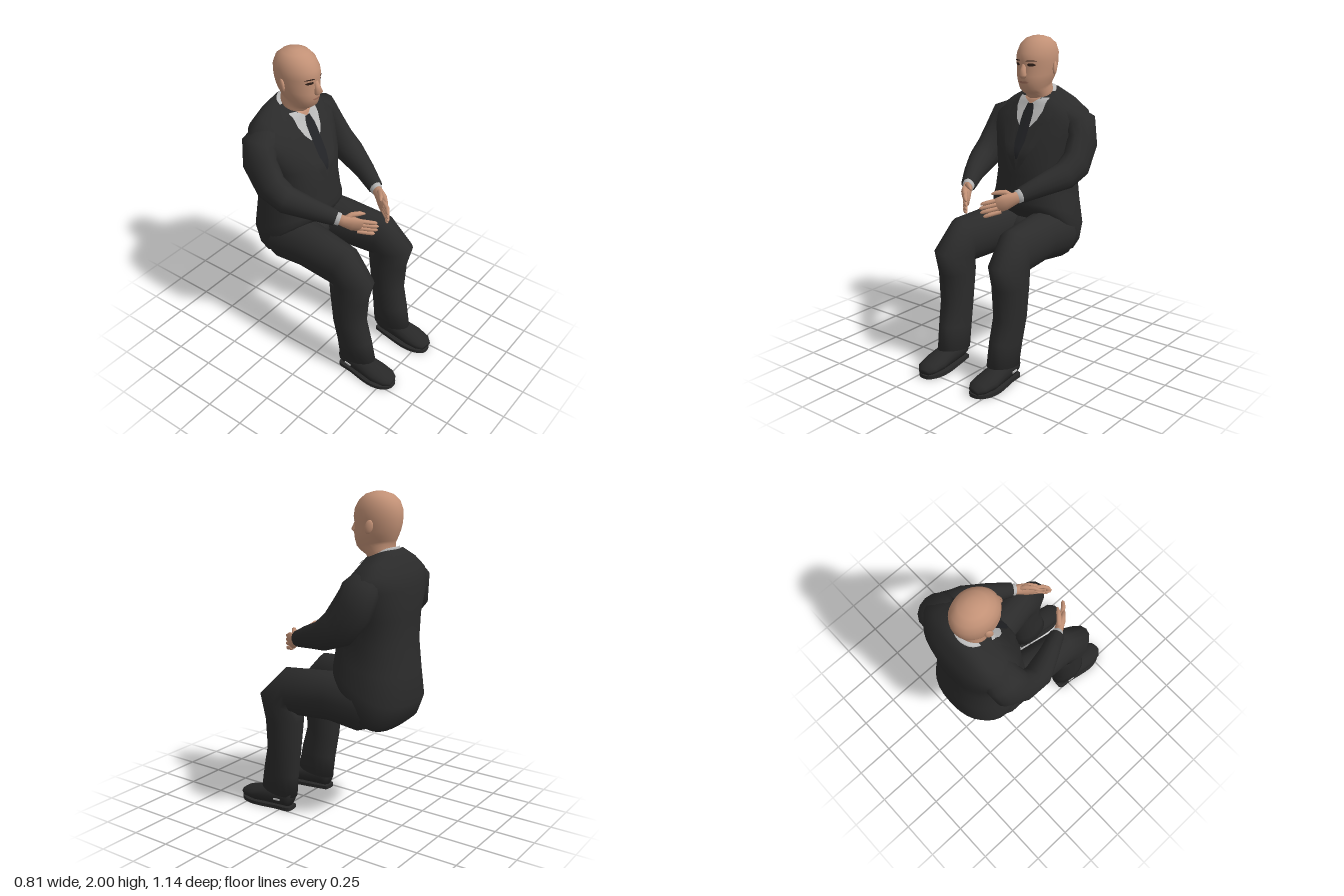
import * as THREE from 'three';

const mat = (name, color) => Object.assign(new THREE.MeshStandardMaterial({ color }), { name });

// Skin a stack of rings (counter-clockwise about the stacking direction), with closed ends
function skin(rings) {
  const n = rings[0].length, pos = [], idx = [];
  rings.forEach(r => r.forEach(p => pos.push(p.x, p.y, p.z)));
  for (let i = 0; i < rings.length - 1; i++) for (let j = 0; j < n; j++) {
    const a = i * n + j, b = i * n + (j + 1) % n;
    idx.push(a, b, a + n, b, b + n, a + n);
  }
  [0, rings.length - 1].forEach((i, end) => {
    const c = rings[i].reduce((s, p) => s.add(p), new THREE.Vector3()).divideScalar(n);
    const k = pos.length / 3;
    pos.push(c.x, c.y, c.z);
    for (let j = 0; j < n; j++) {
      const a = i * n + j, b = i * n + (j + 1) % n;
      end ? idx.push(k, a, b) : idx.push(k, b, a);
    }
  });
  const g = new THREE.BufferGeometry();
  g.setAttribute('position', new THREE.Float32BufferAttribute(pos, 3));
  g.setIndex(idx);
  g.computeVertexNormals();
  return g;
}

// Limb: sections [x, y, z, sideRadius, otherRadius] along a path; s mirrors x
function limb(sections, s = 1, n = 14) {
  const c = sections.map(q => new THREE.Vector3(q[0] * s, q[1], q[2]));
  return skin(sections.map((q, i) => {
    const t = c[Math.min(i + 1, c.length - 1)].clone().sub(c[Math.max(i - 1, 0)]).normalize();
    const u = new THREE.Vector3(1, 0, 0).addScaledVector(t, -t.x).normalize();
    const v = t.clone().cross(u);
    return Array.from({ length: n }, (_, j) => {
      const a = j / n * Math.PI * 2;
      return c[i].clone().addScaledVector(u, q[3] * Math.cos(a)).addScaledVector(v, q[4] * Math.sin(a));
    });
  }));
}

// Upright body: rows [yFront, yBack, zFront, zBack, halfWidth]; power < 1 squares the outline
function body(rows, n, power) {
  const pw = x => Math.sign(x) * Math.abs(x) ** power;
  return skin(rows.map(([yf, yb, zf, zb, rx]) => Array.from({ length: n }, (_, j) => {
    const a = j / n * Math.PI * 2, f = (1 - pw(Math.sin(a))) / 2;
    return new THREE.Vector3(rx * pw(Math.cos(a)), yb + (yf - yb) * f * f * (3 - 2 * f), zb + (zf - zb) * f);
  })));
}

// Thin patch laid on the front of a mesh: rows [y, x0, x1] from top to bottom
function patch(target, rows, lift, s = 1, cols = 6) {
  const ray = new THREE.Raycaster(), pos = [], idx = [], dir = new THREE.Vector3(0, 0, -1);
  const fine = [];
  rows.forEach((r, i) => {
    if (i) for (let k = 1; k <= 4; k++) fine.push(r.map((v, m) => rows[i - 1][m] + (v - rows[i - 1][m]) * k / 4));
    else fine.push(r);
  });
  fine.forEach(([y, x0, x1], i) => {
    const lo = Math.min(x0 * s, x1 * s), hi = Math.max(x0 * s, x1 * s);
    for (let c = 0; c <= cols; c++) {
      const x = lo + (hi - lo) * c / cols;
      ray.set(new THREE.Vector3(x, y, 2), dir);
      const hit = ray.intersectObject(target)[0];
      pos.push(x, y, (hit ? hit.point.z : -0.27) + lift);
      if (i && c) {
        const d = i * (cols + 1) + c, b = d - cols - 1;
        idx.push(b - 1, d - 1, b, b, d - 1, d);
      }
    }
  });
  const g = new THREE.BufferGeometry();
  g.setAttribute('position', new THREE.Float32BufferAttribute(pos, 3));
  g.setIndex(idx);
  g.computeVertexNormals();
  return g;
}

export function createModel() {
  const suit = mat('suit cloth', 0x2b2b2b), skinTone = mat('skin', 0xc29176), shirt = mat('shirt', 0xbcbcbc);
  const tieCloth = mat('tie cloth', 0x222326), leather = mat('shoe leather', 0x282828);
  const dark = mat('eye and brow', 0x35241d), lip = mat('lips', 0xa3705c);
  shirt.side = THREE.DoubleSide;
  const model = new THREE.Group();
  const add = (name, g, m) => {
    const mesh = new THREE.Mesh(g, m);
    mesh.name = name;
    model.add(mesh);
    return mesh;
  };

  // Jacket, lower at the back than at the front
  const jacket = add('jacket', body([
    [0.94, 0.635, -0.10, -0.46, 0.27],
    [0.97, 0.69, -0.08, -0.525, 0.285],
    [1.0, 0.80, -0.075, -0.568, 0.285],
    [1.06, 0.98, -0.08, -0.55, 0.262],
    [1.17, 1.15, -0.09, -0.535, 0.245],
    [1.31, 1.30, -0.10, -0.535, 0.262],
    [1.43, 1.47, -0.16, -0.545, 0.315],
    [1.51, 1.56, -0.20, -0.515, 0.322],
    [1.57, 1.63, -0.232, -0.48, 0.23],
    [1.63, 1.685, -0.255, -0.44, 0.115],
  ], 32, 0.85), suit);

  // Trouser seat
  const seat = new THREE.SphereGeometry(1, 20, 14).scale(0.22, 0.11, 0.2).translate(0, 0.80, -0.3);
  add('trouserSeat', seat, suit);

  // Head and neck
  const head = add('head', body([
    [1.57, 1.62, -0.26, -0.41, 0.08],
    [1.64, 1.69, -0.24, -0.408, 0.082],
    [1.662, 1.715, -0.195, -0.41, 0.078],
    [1.685, 1.73, -0.168, -0.418, 0.085],
    [1.725, 1.76, -0.158, -0.43, 0.1],
    [1.765, 1.79, -0.153, -0.44, 0.108],
    [1.82, 1.82, -0.16, -0.447, 0.113],
    [1.855, 1.855, -0.152, -0.451, 0.117],
    [1.9, 1.9, -0.16, -0.45, 0.117],
    [1.95, 1.95, -0.188, -0.43, 0.103],
    [1.983, 1.983, -0.228, -0.39, 0.073],
    [1.998, 1.998, -0.275, -0.34, 0.033],
  ], 32, 1), skinTone);
  add('nose', limb([[0, 1.84, -0.168, 0.012, 0.012], [0, 1.805, -0.156, 0.018, 0.018],
    [0, 1.775, -0.146, 0.027, 0.024], [0, 1.762, -0.158, 0.022, 0.014]], 1, 12), skinTone);
  add('mouth', patch(head, [[1.736, -0.022, 0.022], [1.73, -0.036, 0.036], [1.723, -0.02, 0.02]], 0.003), lip);

  // Throat, shirt front and tie in the jacket opening
  add('throat', patch(jacket, [[1.632, -0.062, 0.062], [1.595, -0.008, 0.008]], 0.008), skinTone);
  add('tie', patch(jacket, [[1.595, -0.02, 0.02], [1.545, -0.036, 0.036], [1.5, -0.038, 0.038],
    [1.36, -0.035, 0.035], [1.27, -0.006, 0.006]], 0.009), tieCloth);
  add('shirtFront', patch(jacket, [[1.632, -0.105, 0.105], [1.57, -0.102, 0.102], [1.5, -0.074, 0.074],
    [1.46, -0.04, 0.04]], 0.004), shirt);
  add('shirtCollar', body([[1.58, 1.655, -0.262, -0.435, 0.108], [1.61, 1.697, -0.265, -0.428, 0.096]], 28, 1), shirt);

  // Sole outline seen from above
  const outline = new THREE.Shape(new THREE.SplineCurve([[0.165, 0.185], [0.245, 0.185], [0.26, 0.28], [0.285, 0.43],
    [0.27, 0.52], [0.225, 0.568], [0.165, 0.566], [0.13, 0.51], [0.122, 0.42], [0.145, 0.28], [0.165, 0.185]]
    .map(p => new THREE.Vector2(...p))).getPoints(40));

  for (const [side, s] of [['left', 1], ['right', -1]]) {
    const part = (name, sections, m, n) => add(side + name, limb(sections, s, n), m);

    // Face details
    add(side + 'Eye', patch(head, [[1.845, 0.036, 0.06], [1.836, 0.025, 0.074], [1.828, 0.036, 0.06]], 0.003, s), dark);
    add(side + 'Brow', patch(head, [[1.864, 0.03, 0.062], [1.857, 0.02, 0.082]], 0.003, s), dark);
    const ear = new THREE.SphereGeometry(1, 12, 10).scale(0.012, 0.04, 0.024).rotateX(-0.2);
    add(side + 'Ear', ear.rotateY(s * 0.35).translate(s * 0.12, 1.81, -0.315), skinTone);

    // Lapel
    add(side + 'Lapel', patch(jacket, [[1.62, 0.103, 0.13], [1.54, 0.098, 0.17], [1.47, 0.062, 0.165],
      [1.35, 0.03, 0.11], [1.2, 0.0, 0.015]], 0.009, s), suit);

    // Sleeve, cuff and hand
    part('Sleeve', [
      [0.19, 1.55, -0.36, 0.05, 0.09], [0.275, 1.48, -0.365, 0.1, 0.115], [0.315, 1.38, -0.34, 0.078, 0.125],
      [0.33, 1.26, -0.25, 0.077, 0.115], [0.32, 1.205, -0.14, 0.08, 0.088],
      [0.262, 1.165, 0.0, 0.06, 0.068], [0.2, 1.122, 0.125, 0.045, 0.05]], suit);
    part('Cuff', [[0.207, 1.126, 0.11, 0.036, 0.043], [0.188, 1.114, 0.146, 0.034, 0.042]], shirt);
    part('Palm', [[0.195, 1.118, 0.13, 0.027, 0.034], [0.178, 1.105, 0.165, 0.027, 0.04],
      [0.148, 1.088, 0.212, 0.026, 0.053], [0.117, 1.072, 0.25, 0.017, 0.05]], skinTone, 12);
    for (let i = 0; i < 4; i++) {
      const y = 1.106 - i * 0.025, reach = [0.92, 1, 0.95, 0.78][i];
      part('Finger' + (i + 1), [[0.132, y + 0.002, 0.23, 0.013, 0.013],
        [0.125 - 0.04 * reach, y - 0.01, 0.25 + 0.045 * reach, 0.013, 0.013],
        [0.125 - 0.066 * reach, y - 0.019, 0.25 + 0.066 * reach, 0.011, 0.011],
        [0.125 - 0.077 * reach, y - 0.023, 0.25 + 0.074 * reach, 0.004, 0.004]], skinTone, 8);
    }
    part('Thumb', [[0.178, 1.115, 0.17, 0.018, 0.02], [0.142, 1.145, 0.2, 0.016, 0.017],
      [0.105, 1.145, 0.23, 0.014, 0.014], [0.078, 1.135, 0.248, 0.005, 0.005]], skinTone, 8);

    // Trouser leg bent at the knee
    part('TrouserLeg', [
      [0.13, 0.79, -0.44, 0.11, 0.12], [0.15, 0.785, -0.3, 0.145, 0.165], [0.167, 0.80, -0.1, 0.13, 0.15],
      [0.197, 0.785, 0.185, 0.108, 0.15], [0.21, 0.71, 0.25, 0.103, 0.155], [0.207, 0.6, 0.232, 0.1, 0.13],
      [0.208, 0.4, 0.238, 0.092, 0.113], [0.2, 0.25, 0.268, 0.084, 0.122], [0.195, 0.105, 0.29, 0.075, 0.13]], suit, 16);

    // Shoe upper, sole and pale side trim
    part('Shoe', [[0.205, 0.07, 0.185, 0.04, 0.05], [0.205, 0.08, 0.22, 0.052, 0.065], [0.205, 0.075, 0.34, 0.066, 0.066],
      [0.205, 0.058, 0.45, 0.078, 0.05], [0.2, 0.048, 0.53, 0.068, 0.036], [0.195, 0.038, 0.566, 0.04, 0.022]], leather, 16);
    add(side + 'ShoeTrim', new THREE.BoxGeometry(0.008, 0.01, 0.045).rotateY(s * 0.12).translate(s * 0.264, 0.068, 0.265), shirt);
    const shape = s > 0 ? outline : new THREE.Shape(outline.getPoints().map(p => new THREE.Vector2(-p.x, p.y)));
    const sole = new THREE.ExtrudeGeometry(shape, { depth: 0.022, bevelEnabled: false });
    add(side + 'Sole', sole.rotateX(Math.PI / 2).translate(0, 0.022, 0), leather);
  }
  return model;
}
